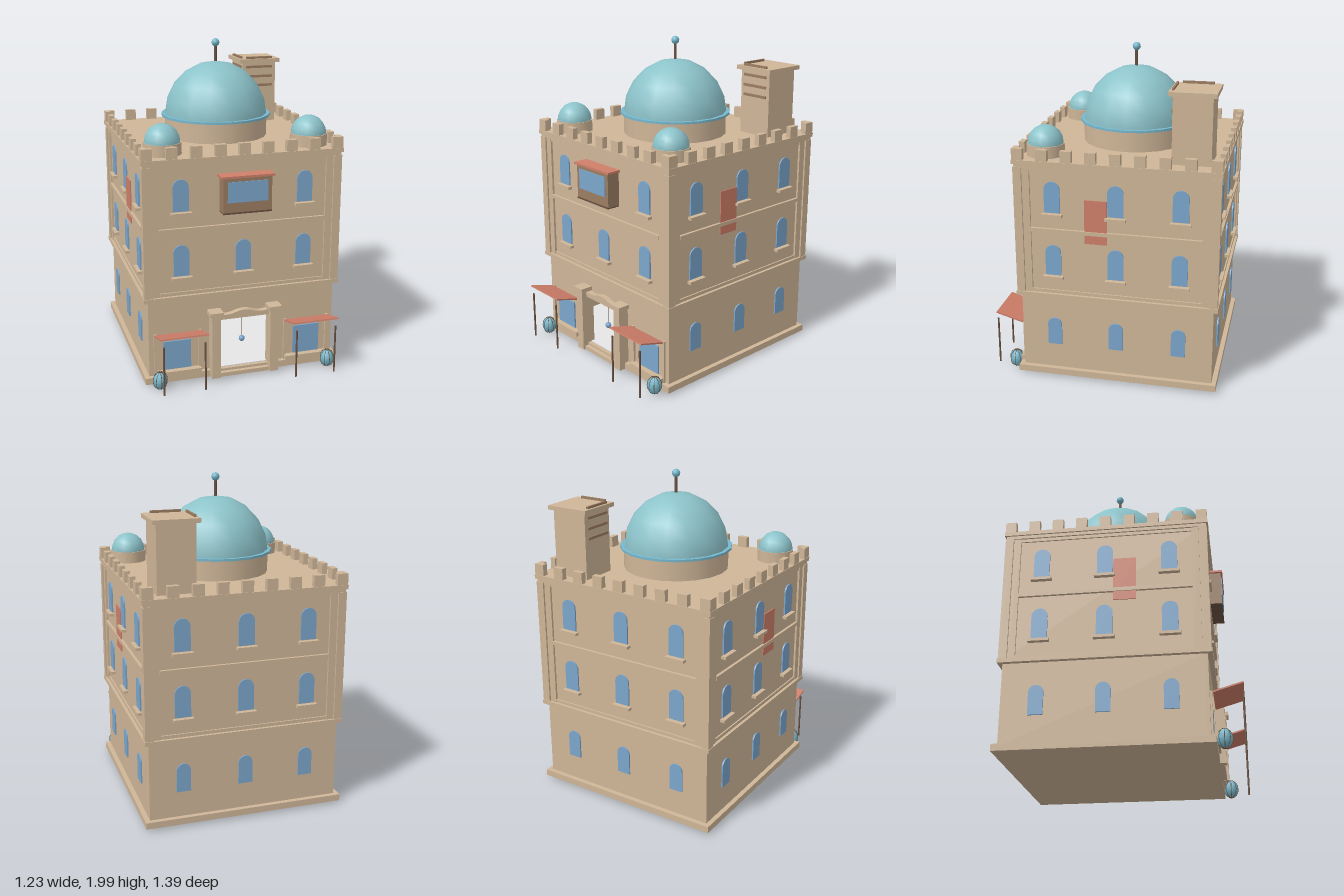
import * as THREE from 'three';

const mat = (name, color, double) => {
  const m = new THREE.MeshStandardMaterial({ color });
  m.name = name;
  if (double) m.side = THREE.DoubleSide;
  return m;
};

export function createModel() {
  const stone = mat('sandstone', 0xcfb698);
  const teal = mat('domeTeal', 0x8cc3ca);
  const trim = mat('tealTrim', 0x78b8cc);
  const glass = mat('windowBlue', 0x7ba6cc);
  const red = mat('terracottaCloth', 0xcf7f69, true);
  const wood = mat('wood', 0x9c7d62);
  const dark = mat('darkWood', 0x6b5240);
  const plaster = mat('paleInterior', 0xe6e6e6);

  const model = new THREE.Group();
  // The building is square about its own axis, set back to leave room for the awnings
  const house = new THREE.Group();
  house.name = 'house';
  house.position.z = -0.08;
  model.add(house);

  const add = (parent, name, geo, material, x = 0, y = 0, z = 0) => {
    const m = new THREE.Mesh(geo, material);
    m.name = name;
    m.position.set(x, y, z);
    parent.add(m);
    return m;
  };
  // Box given by its min and max on each axis
  const box = (parent, name, material, x0, x1, y0, y1, z0, z1) =>
    add(parent, name, new THREE.BoxGeometry(x1 - x0, y1 - y0, z1 - z0), material,
      (x0 + x1) / 2, (y0 + y1) / 2, (z0 + z1) / 2);
  const slab = (name, h, y0, y1) => box(house, name, stone, -h, h, y0, y1, -h, h);

  const W = 0.585;

  // Horizontal courses and the upper storeys
  slab('plinth', 0.614, 0.025, 0.065);
  slab('middleCornice', 0.612, 0.545, 0.57);
  slab('upperStoreys', W, 0.57, 1.36);
  slab('roofMoulding', 0.604, 1.355, 1.375);
  slab('roofCornice', 0.614, 1.375, 1.4);

  // Ground floor shell with an open doorway
  const front = new THREE.Shape([[-W, 0.065], [W, 0.065], [W, 0.545], [-W, 0.545]].map(p => new THREE.Vector2(...p)));
  front.holes.push(new THREE.Path([[-0.157, 0.0655], [-0.157, 0.395], [0.157, 0.395], [0.157, 0.0655]].map(p => new THREE.Vector2(...p))));
  add(house, 'frontWall', new THREE.ExtrudeGeometry(front, { depth: 0.02, bevelEnabled: false }), stone, 0, 0, W - 0.02);
  box(house, 'backWall', stone, -W, W, 0.065, 0.545, -W, -W + 0.02);
  for (const s of [-1, 1]) add(house, 'sideWall', new THREE.BoxGeometry(0.02, 0.48, 2 * W - 0.04), stone, s * (W - 0.01), 0.305, 0);
  box(house, 'floor', plaster, -0.56, 0.56, 0.065, 0.069, -0.56, 0.56);
  box(house, 'doorSill', plaster, -0.155, 0.155, 0.064, 0.07, 0.55, 0.59);
  box(house, 'interiorBackWall', plaster, -0.56, 0.56, 0.069, 0.54, -0.56, -0.55);

  // Furnishings at the back of the hall
  box(house, 'counter', wood, -0.3, 0.3, 0.069, 0.1, -0.5, -0.42);
  box(house, 'counterTop', trim, -0.3, 0.3, 0.1, 0.145, -0.51, -0.41);
  box(house, 'wallHanging', trim, -0.3, 0.3, 0.255, 0.4, -0.55, -0.53);

  // Arched window outline, base on y = 0
  const archGeo = (w, h) => {
    const s = new THREE.Shape();
    s.moveTo(-w / 2, 0);
    s.lineTo(w / 2, 0);
    s.lineTo(w / 2, h - w / 2);
    s.absarc(0, h - w / 2, w / 2, 0, Math.PI, false);
    s.closePath();
    return new THREE.ExtrudeGeometry(s, { depth: 0.009, bevelEnabled: false, curveSegments: 8 });
  };
  const upperWindow = archGeo(0.095, 0.19);
  const lowerWindow = archGeo(0.086, 0.175);

  // Four facades: 0 front, 1 left, 2 back, 3 right
  for (let k = 0; k < 4; k++) {
    const f = new THREE.Group();
    f.name = ['frontFacade', 'leftFacade', 'backFacade', 'rightFacade'][k];
    f.rotation.y = k * Math.PI / 2;
    house.add(f);

    box(f, 'floorBand', stone, -0.515, 0.515, 0.962, 0.985, W, 0.602);
    box(f, 'panelTop', stone, -0.515, 0.515, 1.335, 1.357, W, 0.594);
    box(f, 'panelBottom', stone, -0.515, 0.515, 0.57, 0.59, W, 0.594);
    for (const s of [-1, 1]) box(f, 'pilaster', stone, s * 0.535 - 0.022, s * 0.535 + 0.022, 0.57, 1.357, W, 0.598);
    box(f, 'cornerPost', stone, 0.558, 0.608, 0.57, 1.357, 0.558, 0.608);

    for (const x of [-0.38, 0, 0.38]) {
      for (const y of [0.69, 1.085]) {
        if (k === 0 && x === 0 && y > 1) continue;
        add(f, 'archedWindow', upperWindow, glass, x, y, W);
        box(f, 'windowSill', stone, x - 0.062, x + 0.062, y - 0.022, y - 0.005, W, 0.615);
      }
      if (k !== 0) add(f, 'groundWindow', lowerWindow, glass, x, 0.228, W + 0.004);
    }
    // Battlements, one corner per side
    for (let i = 0; i < 8; i++) {
      const x = -0.577 + i * 0.1443;
      if (i === 0) box(f, 'cornerMerlon', stone, -0.611, -0.546, 1.4, 1.468, 0.577, 0.611);
      else box(f, 'merlon', stone, x - 0.033, x + 0.033, 1.4, 1.468, 0.577, 0.611);
    }
    box(f, 'merlonEnd', stone, 0.546, 0.577, 1.4, 1.468, 0.577, 0.611);
  }

  // Hanging cloths on both sides
  for (const s of [-1, 1])
    add(house, 'hangingCloth', new THREE.BoxGeometry(0.006, 0.27, 0.135), red, s * 0.593, 1.043, 0.118);

  // Domes
  const dome = (r, h, seg, rings) => {
    const g = new THREE.SphereGeometry(r, seg, rings, 0, Math.PI * 2, 0, Math.PI / 2);
    return g.scale(1, h / r, 1);
  };
  add(house, 'mainDrum', new THREE.CylinderGeometry(0.322, 0.322, 0.13, 20), stone, 0, 1.465, 0);
  add(house, 'domeRing', new THREE.CylinderGeometry(0.344, 0.344, 0.014, 20), trim, 0, 1.53, 0);
  add(house, 'mainDome', dome(0.323, 0.335, 16, 5), teal, 0, 1.525, 0);
  add(house, 'finialRod', new THREE.CylinderGeometry(0.009, 0.009, 0.12, 8), dark, 0, 1.905, 0);
  add(house, 'finialBall', new THREE.SphereGeometry(0.025, 12, 8), trim, 0, 1.975, 0);
  for (const s of [-1, 1]) {
    add(house, 'smallDrum', new THREE.CylinderGeometry(0.113, 0.113, 0.07, 14), stone, s * 0.452, 1.435, 0.45);
    add(house, 'smallDome', dome(0.108, 0.11, 12, 5), teal, s * 0.452, 1.468, 0.45);
  }

  // Wind tower with slats towards the front and right
  const tower = new THREE.Group();
  tower.name = 'windTower';
  tower.position.set(0.393, 0, -0.42);
  house.add(tower);
  box(tower, 'towerBody', stone, -0.114, 0.114, 1.4, 1.797, -0.114, 0.114);
  box(tower, 'towerCap', stone, -0.137, 0.137, 1.797, 1.822, -0.137, 0.137);
  for (const y of [1.645, 1.705, 1.768, 1.828]) {
    box(tower, 'frontSlat', wood, -0.09, 0.09, y - 0.008, y + 0.008, 0.11, 0.122);
    box(tower, 'sideSlat', wood, -0.122, -0.11, y - 0.008, y + 0.008, -0.09, 0.09);
  }

  // Bay window
  box(house, 'bayWindow', wood, -0.147, 0.147, 1.07, 1.28, W, 0.667);
  box(house, 'bayGlass', glass, -0.122, 0.122, 1.135, 1.258, 0.667, 0.672);
  box(house, 'bayFoot', dark, -0.147, 0.147, 1.066, 1.076, W, 0.67);
  box(house, 'bayRoof', red, -0.162, 0.162, 1.28, 1.293, W, 0.677);

  // Door portal with a wavy lintel
  const lintel = new THREE.Shape();
  lintel.moveTo(-0.16, 0.392);
  lintel.lineTo(0.16, 0.392);
  lintel.lineTo(0.16, 0.43);
  lintel.bezierCurveTo(0.08, 0.405, 0.06, 0.442, 0, 0.442);
  lintel.bezierCurveTo(-0.06, 0.442, -0.08, 0.405, -0.16, 0.43);
  add(house, 'doorLintel', new THREE.ExtrudeGeometry(lintel, { depth: 0.035, bevelEnabled: false }), stone, 0, 0, W);
  box(house, 'doorStep', stone, -0.155, 0.155, 0.025, 0.05, 0.61, 0.64);
  add(house, 'doorLamp', new THREE.SphereGeometry(0.019, 8, 6), glass, 0, 0.232, 0.57);
  add(house, 'lampCord', new THREE.CylinderGeometry(0.002, 0.002, 0.15, 5), dark, 0, 0.322, 0.57);

  for (const s of [-1, 1]) {
    const b = (name, m, x0, x1, ...r) => box(house, name, m, Math.min(s * x0, s * x1), Math.max(s * x0, s * x1), ...r);
    b('doorPillar', stone, 0.157, 0.212, 0.025, 0.43, W, 0.653);
    b('pillarCap', stone, 0.143, 0.226, 0.43, 0.456, W, 0.665);
    // Shop fronts
    b('shopWindow', glass, 0.328, 0.498, 0.098, 0.28, W, W + 0.009);
    b('shopCounter', stone, 0.27, 0.55, 0.065, 0.095, W, 0.625);
    for (const x of [0.272, 0.548]) b('shopPost', stone, x - 0.008, x + 0.008, 0.065, 0.335, W, 0.598);
    const awning = add(house, 'awning', new THREE.BoxGeometry(0.29, 0.009, 0.175), red, s * 0.409, 0.355, 0.687);
    awning.rotation.x = -0.28;
    for (const x of [0.285, 0.535])
      add(house, 'awningPole', new THREE.CylinderGeometry(0.006, 0.006, 0.305, 8), dark, s * x, 0.178, 0.767);
    // Ribbed jars
    const jar = new THREE.Group();
    jar.name = 'jar';
    jar.position.set(s * 0.535, 0.066, 0.655);
    house.add(jar);
    add(jar, 'jarBody', new THREE.SphereGeometry(0.044, 8, 6).scale(1, 1.27, 1), trim);
    for (let i = 0; i < 4; i++) {
      const rib = add(jar, 'jarRib', new THREE.TorusGeometry(0.044, 0.002, 4, 16).scale(1, 1.27, 1), dark);
      rib.rotation.y = i * Math.PI / 4;
    }
  }
  return model;
}
